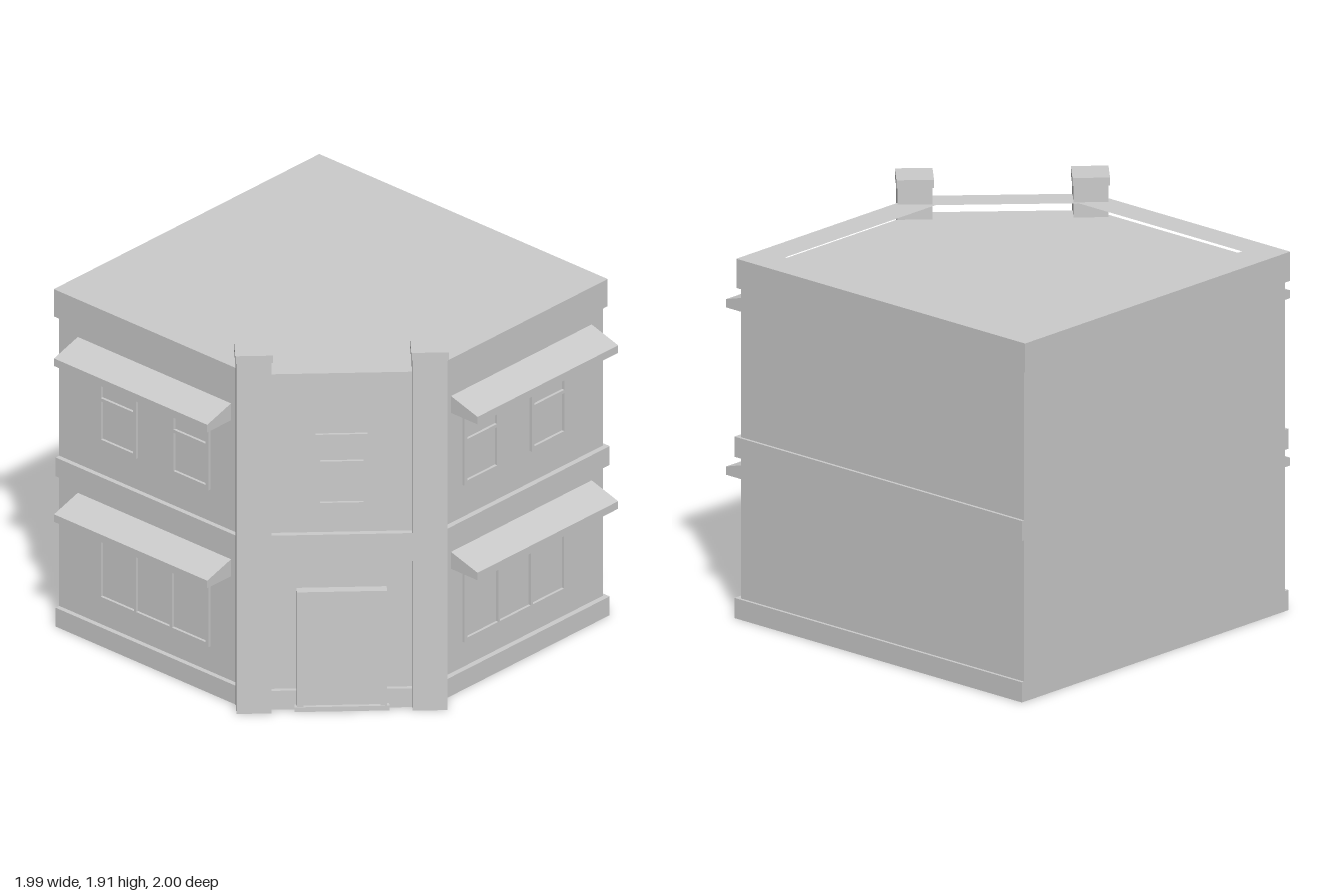
import * as THREE from 'three';

const material = new THREE.MeshStandardMaterial({ color: 0xcccccc, flatShading: true });

function add(parent, name, geometry, x = 0, y = 0, z = 0) {
  const mesh = new THREE.Mesh(geometry, material);
  mesh.name = name;
  mesh.position.set(x, y, z);
  parent.add(mesh);
  return mesh;
}

// Box given by its centre in x, its bottom and top, and its back and front
function addBox(parent, name, x, width, y0, y1, z0, z1) {
  return add(parent, name, new THREE.BoxGeometry(width, y1 - y0, z1 - z0), x, (y0 + y1) / 2, (z0 + z1) / 2);
}

// Floor plan with one corner cut along z - x = cut
function plan(left, right, front, back, cut) {
  return [[left, back], [right, back], [right, front], [front - cut, front], [left, left + cut]]
    .map(([x, z]) => new THREE.Vector2(x, -z));
}

function addStorey(parent, name, outline, y0, y1, hole) {
  const shape = new THREE.Shape(outline);
  if (hole) shape.holes.push(new THREE.Path(hole));
  const geometry = new THREE.ExtrudeGeometry(shape, { depth: y1 - y0, bevelEnabled: false });
  geometry.rotateX(-Math.PI / 2);
  return add(parent, name, geometry, 0, y0, 0);
}

function rectangle(Type, [x0, x1, y0, y1]) {
  return new Type([[x0, y0], [x1, y0], [x1, y1], [x0, y1]].map(p => new THREE.Vector2(...p)));
}

// Raised frame with openings, standing on the wall plane z = 0
function addFrame(parent, name, outer, openings, depth) {
  const shape = rectangle(THREE.Shape, outer);
  for (const opening of openings) shape.holes.push(rectangle(THREE.Path, opening));
  return add(parent, name, new THREE.ExtrudeGeometry(shape, { depth, bevelEnabled: false }));
}

function addSashWindow(parent, x) {
  addFrame(parent, 'sashWindow', [x, x + 0.245, 1.07, 1.455], [
    [x + 0.02, x + 0.225, 1.092, 1.295],
    [x + 0.02, x + 0.225, 1.312, 1.435],
  ], 0.014);
}

function addShopWindow(parent, x) {
  const panes = [0.02, 0.245, 0.475].map(p => [x + p, x + p + 0.213, 0.255, 0.6]);
  addFrame(parent, 'shopWindow', [x, x + 0.71, 0.235, 0.62], panes, 0.014);
}

// Sloping canopy, profile drawn as distance from the wall against height
function addAwning(parent, x0, x1, y, reach) {
  const profile = new THREE.Shape([[0, 0], [reach, 0], [reach, 0.04], [0, 0.09]]
    .map(p => new THREE.Vector2(...p)));
  const geometry = new THREE.ExtrudeGeometry(profile, { depth: x1 - x0, bevelEnabled: false });
  geometry.rotateY(-Math.PI / 2);
  geometry.translate(x1, y, 0);
  return add(parent, 'awning', geometry);
}

function addFacade(root, name, windowX, awningX0, awningX1, reach) {
  const facade = new THREE.Group();
  facade.name = name;
  addShopWindow(facade, windowX);
  addSashWindow(facade, windowX);
  addSashWindow(facade, windowX + 0.465);
  for (const y of [0.655, 1.485]) addAwning(facade, awningX0, awningX1, y, reach);
  root.add(facade);
  return facade;
}

export function createModel() {
  const root = new THREE.Group();
  root.name = 'cornerShop';

  // Walls, bands and parapet
  addStorey(root, 'walls', plan(-0.835, 0.975, 0.83, -0.98, 1.085), 0, 1.71);
  addStorey(root, 'plinth', plan(-0.86, 0.99, 0.858, -0.979, 1.115), 0, 0.1);
  addStorey(root, 'middleBand', plan(-0.86, 0.99, 0.858, -0.979, 1.115), 0.8, 0.9);
  addStorey(root, 'parapet', plan(-0.85, 0.99, 0.845, -1, 1.113), 1.64, 1.785,
    plan(-0.7, 0.82, 0.69, -0.83, 0.915));

  // Two shop fronts
  addFacade(root, 'frontFacade', 0, -0.08, 0.895, 0.17).position.set(0, 0, 0.83);
  const side = addFacade(root, 'sideFacade', -0.72, -0.86, 0.12, 0.165);
  side.position.set(-0.835, 0, 0);
  side.rotation.y = -Math.PI / 2;

  // Cut corner with the entrance
  const corner = new THREE.Group();
  corner.name = 'cornerEntrance';
  corner.position.set(-0.535, 0, 0.55);
  corner.rotation.y = -Math.PI / 4;
  addBox(corner, 'cornerBand', 0, 0.8, 0.78, 0.93, -0.02, 0.028);
  addSashWindow(corner, -0.1225);
  addFrame(corner, 'doorFrame', [-0.212, 0.212, 0, 0.635], [[-0.181, 0.181, 0.025, 0.605]], 0.046);
  addBox(corner, 'door', 0, 0.37, 0.01, 0.61, 0, 0.032);
  addBox(corner, 'doorstep', 0, 0.446, 0, 0.025, 0, 0.05);

  // Pillars on both sides of the entrance
  for (const s of [-1, 1]) {
    addBox(corner, 'pillar', s * 0.414, 0.165, 0, 1.87, -0.107, 0.058);
    addBox(corner, 'pillarCap', s * 0.414, 0.177, 1.868, 1.908, -0.113, 0.064);
  }
  root.add(corner);

  return root;
}
